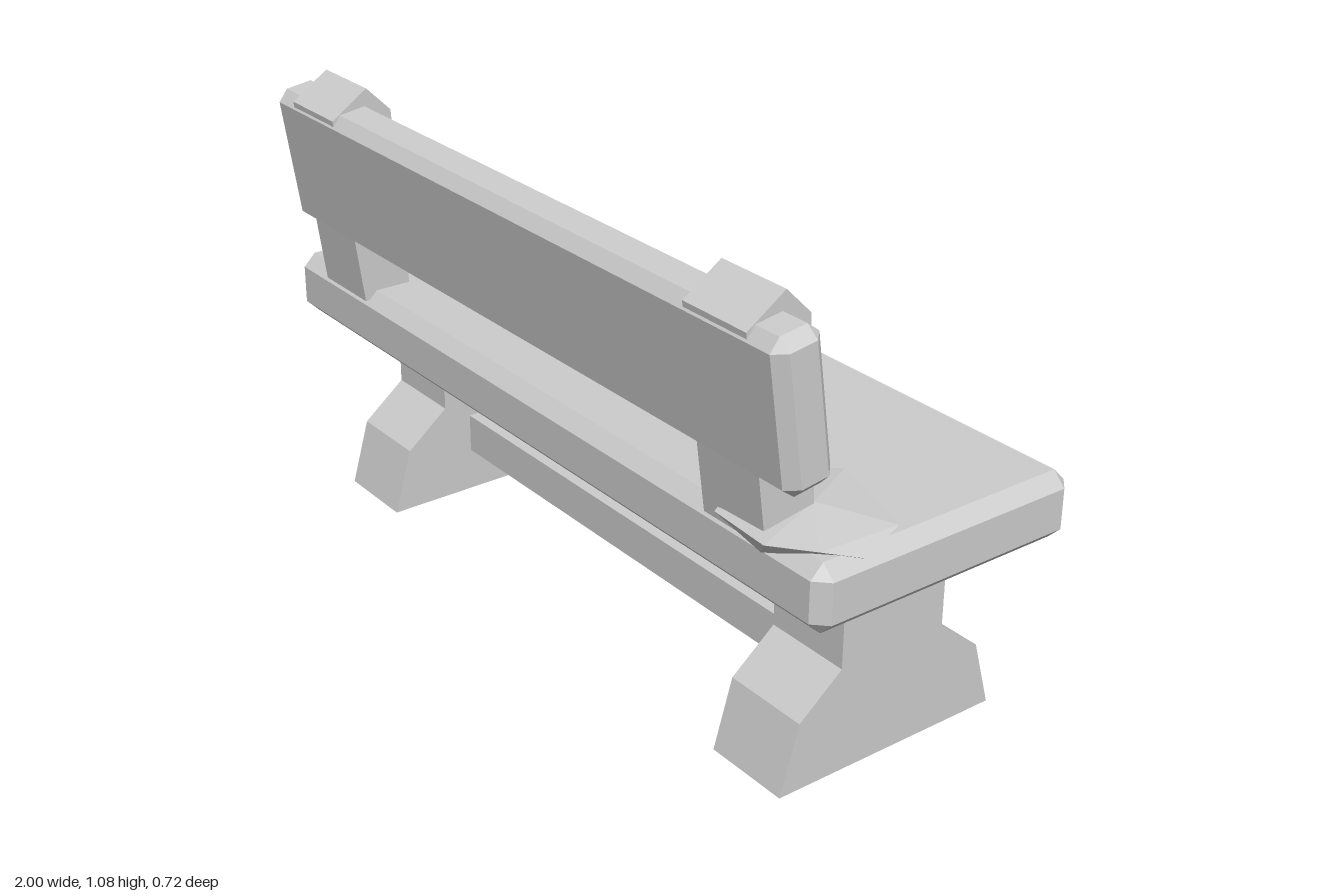
import * as THREE from 'three';
import { ConvexGeometry } from 'three/addons/geometries/ConvexGeometry.js';

const stone = new THREE.MeshStandardMaterial({ color: 0xcccccc, flatShading: true });
stone.name = 'pale stone';

function part(name, geometry, x = 0, y = 0, z = 0) {
  const mesh = new THREE.Mesh(geometry, stone);
  mesh.name = name;
  mesh.position.set(x, y, z);
  return mesh;
}

const hull = (points) => new ConvexGeometry(points.map((p) => new THREE.Vector3(...p)));

// Box with every edge and corner cut off by c
function chamferBox(w, h, d, c) {
  const points = [];
  for (const sx of [-1, 1]) for (const sy of [-1, 1]) for (const sz of [-1, 1]) {
    const half = [sx * w / 2, sy * h / 2, sz * d / 2];
    const cut = [half[0] - sx * c, half[1] - sy * c, half[2] - sz * c];
    for (let i = 0; i < 3; i++) points.push(cut.map((v, k) => (k === i ? half[k] : v)));
  }
  return hull(points);
}

// Side outline given as [z, y] points, extruded along x and centred on it
function sideProfile(outline, width) {
  const shape = new THREE.Shape(outline.map(([z, y]) => new THREE.Vector2(z, y)));
  return new THREE.ExtrudeGeometry(shape, { depth: width, bevelEnabled: false })
    .translate(0, 0, -width / 2)
    .rotateY(-Math.PI / 2);
}

export function createModel() {
  const bench = new THREE.Group();
  bench.name = 'bench';

  // Seat slab and leaning backrest
  bench.add(part('seat', chamferBox(1.92, 0.15, 0.66, 0.03), 0.04, 0.515, -0.03));
  const back = part('backrest', chamferBox(1.8, 0.33, 0.114, 0.025), 0.035, 0.872, 0.285);
  back.rotation.x = 0.145;
  bench.add(back);

  // Flared legs and pointed back posts
  const legShape = sideProfile([
    [0.255, 0], [0.21, 0.155], [0.105, 0.24], [0.105, 0.45],
    [-0.165, 0.45], [-0.165, 0.24], [-0.27, 0.155], [-0.315, 0],
  ], 0.205);
  const postShape = sideProfile([
    [0.3, 0.57], [0.36, 1.02], [0.27, 1.08], [0.21, 1.02], [0.18, 0.57],
  ], 0.18);
  for (const [side, legX, postX] of [['right', -0.683, -0.685], ['left', 0.757, 0.755]]) {
    bench.add(part(side + 'Leg', legShape, legX));
    bench.add(part(side + 'BackPost', postShape, postX));
  }

  // Stretcher between the legs
  bench.add(part('stretcher', new THREE.BoxGeometry(1.26, 0.095, 0.13), 0.035, 0.153, -0.03));

  // Flat stone chip lying on the seat
  bench.add(part('seatStone', hull([
    [0.63, 0.605, 0.17], [0.75, 0.61, 0.02], [0.97, 0.605, 0.085], [0.99, 0.575, 0.18],
    [0.96, 0.605, 0.27], [0.88, 0.605, 0.335], [0.72, 0.6, 0.32], [0.84, 0.628, 0.18],
    [0.85, 0.57, 0.315], [0.7, 0.575, 0.2],
  ])));

  // Stone chip beside the right leg
  bench.add(part('groundStone', hull([
    [-1, 0.085, -0.215], [-0.95, 0.1, -0.16], [-0.84, 0.105, -0.2], [-0.76, 0.09, -0.15],
    [-0.8, 0.085, -0.345], [-0.9, 0.09, -0.32], [-0.83, 0.003, -0.25], [-0.93, 0.04, -0.24],
    [-0.75, 0.045, -0.325], [-0.7, 0.08, -0.25],
  ])));

  return bench;
}
